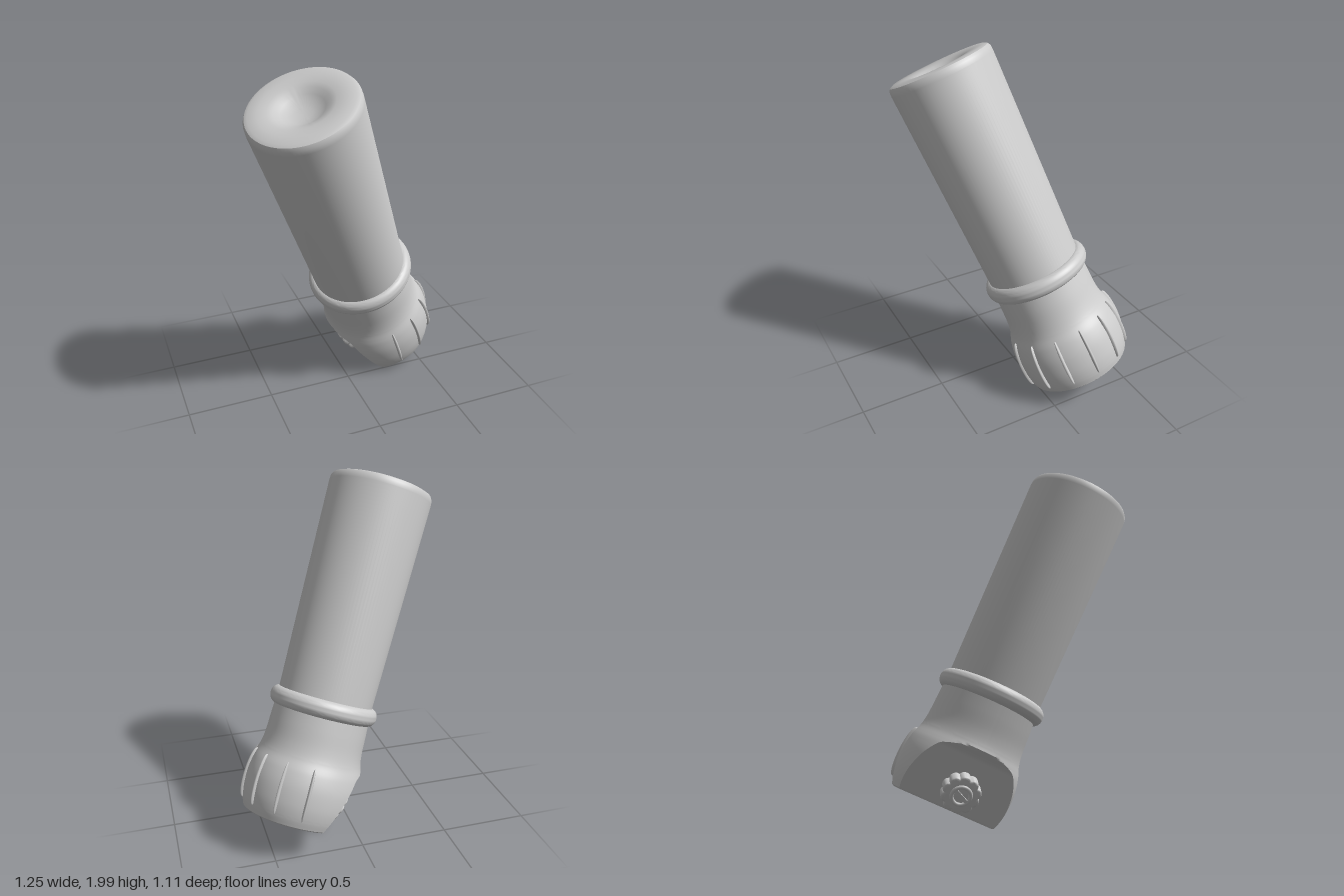
import * as THREE from 'three';
import { toCreasedNormals } from 'three/addons/utils/BufferGeometryUtils.js';

const grey = new THREE.MeshStandardMaterial({ color: 0xcccccc });

function add(parent, name, geometry) {
  const mesh = new THREE.Mesh(geometry, grey);
  mesh.name = name;
  parent.add(mesh);
  return mesh;
}

function lathe(points) {
  return toCreasedNormals(
    new THREE.LatheGeometry(points.map(([r, y]) => new THREE.Vector2(r, y)), 96), 0.6);
}

// Skin of circular sections [y, radius, cutX], each sliced flat at x = cutX
function cutSections(rows) {
  const front = 72, back = 28, n = front + back, pos = [], index = [];
  for (const [y, r, cut] of rows) {
    const edge = Math.acos(Math.max(cut / r, -0.9));
    for (let i = 0; i < n; i++) {
      const a = i < front
        ? -edge + (2 * edge * i) / front
        : edge + ((2 * Math.PI - 2 * edge) * (i - front)) / back;
      pos.push(Math.max(r * Math.cos(a), cut), y, r * Math.sin(a));
    }
  }
  for (let j = 0; j < rows.length - 1; j++) {
    for (let i = 0; i < n; i++) {
      const a = j * n + i, b = j * n + (i + 1) % n;
      index.push(a, b, a + n, b, b + n, a + n);
    }
  }
  const g = new THREE.BufferGeometry();
  g.setAttribute('position', new THREE.Float32BufferAttribute(pos, 3));
  g.setIndex(index);
  return toCreasedNormals(g, 0.6);
}

// Scalloped disc for the knob, lying in the xy plane
function knobShape(radius, depth, lobes) {
  const pts = [];
  for (let i = 0; i < 120; i++) {
    const a = (i / 120) * Math.PI * 2;
    const r = radius - depth * Math.pow(0.5 + 0.5 * Math.cos(a * lobes), 2);
    pts.push(new THREE.Vector2(r * Math.cos(a), r * Math.sin(a)));
  }
  return new THREE.Shape(pts);
}

export function createModel() {
  const model = new THREE.Group();
  model.name = 'torch';

  // Tilted frame: y runs along the barrel, x points away from the flat face
  const torch = new THREE.Group();
  torch.name = 'tiltedBody';
  const Y = new THREE.Vector3(-0.349, 0.897, 0.272).normalize();
  const X = new THREE.Vector3(0.937, 0.334, 0.101);
  const Z = new THREE.Vector3().crossVectors(X, Y).normalize();
  X.crossVectors(Y, Z);
  torch.quaternion.setFromRotationMatrix(new THREE.Matrix4().makeBasis(X, Y, Z));
  torch.position.set(0.11, 0.71, -0.09);
  model.add(torch);

  // Barrel with rounded rim and dished end cap
  add(torch, 'barrel', lathe([
    [0.272, -0.04], [0.3, 1.255], [0.298, 1.28], [0.288, 1.297], [0.27, 1.304],
    [0.22, 1.304], [0.175, 1.301], [0.145, 1.291], [0.115, 1.273], [0.085, 1.256],
    [0.045, 1.246], [0, 1.243],
  ]));

  // Collar ring
  const ring = [];
  for (let i = 0; i <= 20; i++) {
    const a = -Math.PI / 2 + (i / 20) * Math.PI;
    ring.push([0.272 + 0.041 * Math.cos(a), 0.05 * Math.sin(a)]);
  }
  add(torch, 'collarRing', lathe([[0.25, -0.05], ...ring, [0.25, 0.05]]));

  // Head: neck, bulge, slanted flat, then the hollow D-shaped mouth
  const profile = new THREE.SplineCurve([
    [-0.03, 0.276], [-0.12, 0.28], [-0.22, 0.284], [-0.29, 0.295], [-0.36, 0.319],
    [-0.44, 0.333], [-0.53, 0.332], [-0.6, 0.32], [-0.65, 0.303],
  ].map(([y, r]) => new THREE.Vector2(y, r)));
  const rows = profile.getPoints(56).map(({ x: y, y: r }) => {
    const slope = -0.1 - (y + 0.65) * 0.44;
    const t = THREE.MathUtils.smoothstep(y, -0.36, -0.27);
    return [y, r, THREE.MathUtils.lerp(slope, -0.34, t)];
  });
  rows.push(
    [-0.656, 0.294, -0.094], [-0.656, 0.278, -0.076], [-0.645, 0.27, -0.07],
    [-0.56, 0.255, -0.08], [-0.47, 0.225, -0.095], [-0.455, 0.2, -0.085],
    [-0.45, 0.001, -0.0005],
  );
  add(torch, 'lampHead', cutSections(rows));

  // Slim leaf-shaped grip ridges around the bulge
  const ridges = new THREE.Group();
  ridges.name = 'gripRidges';
  torch.add(ridges);
  for (let i = -3; i <= 3; i++) {
    const a = THREE.MathUtils.degToRad(i * 28 + 2);
    const ridge = add(ridges, 'gripRidge', new THREE.SphereGeometry(1, 12, 20));
    ridge.scale.set(0.032, 0.145, 0.012);
    ridge.position.set(0.316 * Math.cos(a), -0.465, 0.316 * Math.sin(a));
    ridge.rotation.set(0, -a, 0.04);
  }

  // Lamp holder inside the mouth: a block with a round socket
  const block = new THREE.Shape();
  block.moveTo(-0.08, -0.09).lineTo(0.06, -0.12).lineTo(0.06, 0.12).lineTo(-0.08, 0.09).closePath();
  block.holes.push(new THREE.Path().absellipse(-0.01, 0, 0.035, 0.045, 0, Math.PI * 2, true));
  const holder = add(torch, 'lampHolder', new THREE.ExtrudeGeometry(block, {
    depth: 0.07, bevelSize: 0.01, bevelThickness: 0.01, bevelSegments: 3, curveSegments: 24,
  }));
  holder.rotation.x = Math.PI / 2;
  holder.position.set(0.03, -0.44, 0);

  // Scalloped knob on the slanted flat
  const knob = new THREE.Group();
  knob.name = 'knob';
  const normal = new THREE.Vector3(-0.916, -0.4, 0).normalize();
  knob.quaternion.setFromUnitVectors(new THREE.Vector3(0, 0, 1), normal);
  knob.position.set(-0.155, -0.525, 0);
  torch.add(knob);
  const stem = add(knob, 'knobStem', new THREE.CylinderGeometry(0.055, 0.055, 0.06, 32));
  stem.rotation.x = Math.PI / 2;
  const grip = add(knob, 'knobGrip', toCreasedNormals(
    new THREE.ExtrudeGeometry(knobShape(0.095, 0.014, 10), {
      depth: 0.05, bevelSize: 0.012, bevelThickness: 0.012, bevelSegments: 3,
    }), 0.6));
  grip.position.z = 0.03;
  const rim = add(knob, 'knobRim', new THREE.TorusGeometry(0.05, 0.011, 10, 40));
  rim.position.z = 0.092;
  const bar = add(knob, 'knobBar', new THREE.BoxGeometry(0.09, 0.018, 0.014));
  bar.position.z = 0.094;

  return model;
}
